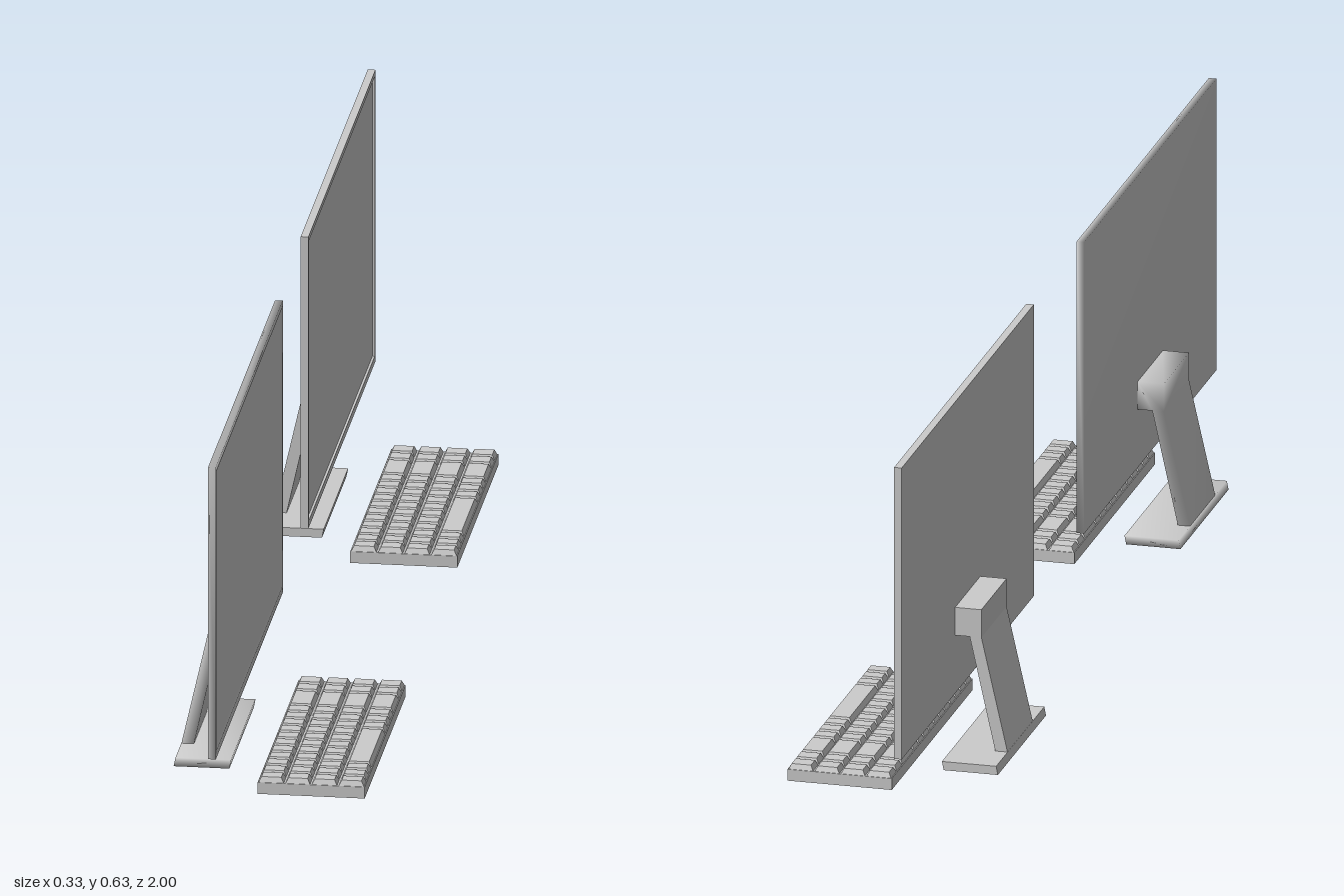
import * as THREE from 'three';
import { mergeGeometries, mergeVertices } from 'three/addons/utils/BufferGeometryUtils.js';

// rectangle loops, counter-clockwise when seen from +x or +y
const rectX = (x, y0, y1, z0, z1) => [[x, y0, z0], [x, y1, z0], [x, y1, z1], [x, y0, z1]];
const rectY = (y, x0, x1, z0, z1) => [[x0, y, z0], [x0, y, z1], [x1, y, z1], [x1, y, z0]];

// closed skin through rectangular loops
function loft(rings) {
  const index = [0, 2, 1, 0, 3, 2];
  for (let i = 0; i < rings.length - 1; i++) {
    for (let j = 0; j < 4; j++) {
      const a = i * 4 + j, b = i * 4 + (j + 1) % 4;
      index.push(a, b, b + 4, a, b + 4, a + 4);
    }
  }
  const e = (rings.length - 1) * 4;
  index.push(e, e + 1, e + 2, e, e + 2, e + 3);
  const g = new THREE.BufferGeometry();
  g.setAttribute('position', new THREE.Float32BufferAttribute(rings.flat(2), 3));
  g.setIndex(index);
  return g;
}

// side profile extruded along z, centred on z = 0
function extrudeProfile(points, width) {
  const shape = new THREE.Shape(points.map(([x, y]) => new THREE.Vector2(x, y)));
  const g = new THREE.ExtrudeGeometry(shape, { depth: width, bevelEnabled: false });
  g.translate(0, 0, -width / 2);
  g.deleteAttribute('uv');
  g.deleteAttribute('normal');
  return mergeVertices(g, 1e-5);
}

// shade an indexed geometry either faceted or smooth
function shade(g, smooth) {
  const out = smooth ? g : g.toNonIndexed();
  out.computeVertexNormals();
  return out;
}

function makeMonitor(material, smooth) {
  const monitor = new THREE.Group();
  monitor.name = 'monitor';
  const add = (name, g) => {
    const mesh = new THREE.Mesh(shade(g, smooth), material);
    mesh.name = name;
    monitor.add(mesh);
  };
  // thin panel with a recessed screen
  add('screenPanel', loft([
    rectX(-0.073, 0.115, 0.627, -0.42, 0.42),
    rectX(-0.06, 0.115, 0.627, -0.42, 0.42),
    rectX(-0.06, 0.127, 0.618, -0.411, 0.411),
    rectX(-0.064, 0.127, 0.618, -0.411, 0.411),
  ]));
  // leaning neck with its mounting block
  add('standNeck', extrudeProfile([
    [-0.163, 0.019], [-0.142, 0.019], [-0.098, 0.217], [-0.072, 0.217],
    [-0.072, 0.266], [-0.118, 0.266], [-0.118, 0.217],
  ], 0.16));
  // foot plate
  add('standBase', extrudeProfile([
    [-0.166, 0.005], [-0.073, 0.005], [-0.07, 0.02], [-0.163, 0.02],
  ], 0.306));
  return monitor;
}

// equal divisions from a to b, without the end point
const split = (a, b, n) => Array.from({ length: n }, (_, i) => a + (b - a) * i / n);

function makeKeyboard(material) {
  const keyboard = new THREE.Group();
  keyboard.name = 'keyboard';
  const half = 0.257, base = 0.02, top = 0.029;
  const body = new THREE.Mesh(shade(loft([
    rectY(0, -0.012, 0.167, -half, half),
    rectY(base, -0.012, 0.167, -half, half),
  ]), false), material);
  body.name = 'keyboardBody';

  // key rows: narrow pad, wide keys, then letters or space bar
  const rowEdges = [-0.012, 0.033, 0.077, 0.122, 0.167];
  const side = [0, 0.036, 0.072];
  const letterRow = [...side, ...split(0.145, 0.514, 11), 0.514];
  const spaceRow = [...side, ...split(0.145, 0.245, 3), 0.245, ...split(0.418, 0.514, 3), 0.514];
  const keys = [];
  for (let r = 0; r < 4; r++) {
    const edges = r === 3 ? spaceRow : letterRow;
    const x0 = rowEdges[r], x1 = rowEdges[r + 1];
    for (let k = 0; k < edges.length - 1; k++) {
      const z0 = edges[k] - half, z1 = edges[k + 1] - half;
      keys.push(shade(loft([
        rectY(base - 0.001, x0 + 0.001, x1 - 0.001, z0 + 0.001, z1 - 0.001),
        rectY(top, x0 + 0.006, x1 - 0.006, z0 + 0.005, z1 - 0.005),
      ]), false));
    }
  }
  const keyMesh = new THREE.Mesh(mergeGeometries(keys), material);
  keyMesh.name = 'keys';
  keyboard.add(body, keyMesh);
  return keyboard;
}

export function createModel() {
  const model = new THREE.Group();
  model.name = 'computerSets';
  const grey = new THREE.MeshStandardMaterial({ color: 0xcccccc });
  grey.name = 'light grey';
  // two sets side by side: one smooth, one faceted
  for (const [name, z, smooth] of [['smoothSet', 0.58, true], ['facetedSet', -0.58, false]]) {
    const set = new THREE.Group();
    set.name = name;
    set.add(makeMonitor(grey, smooth), makeKeyboard(grey));
    set.position.z = z;
    model.add(set);
  }
  return model;
}
